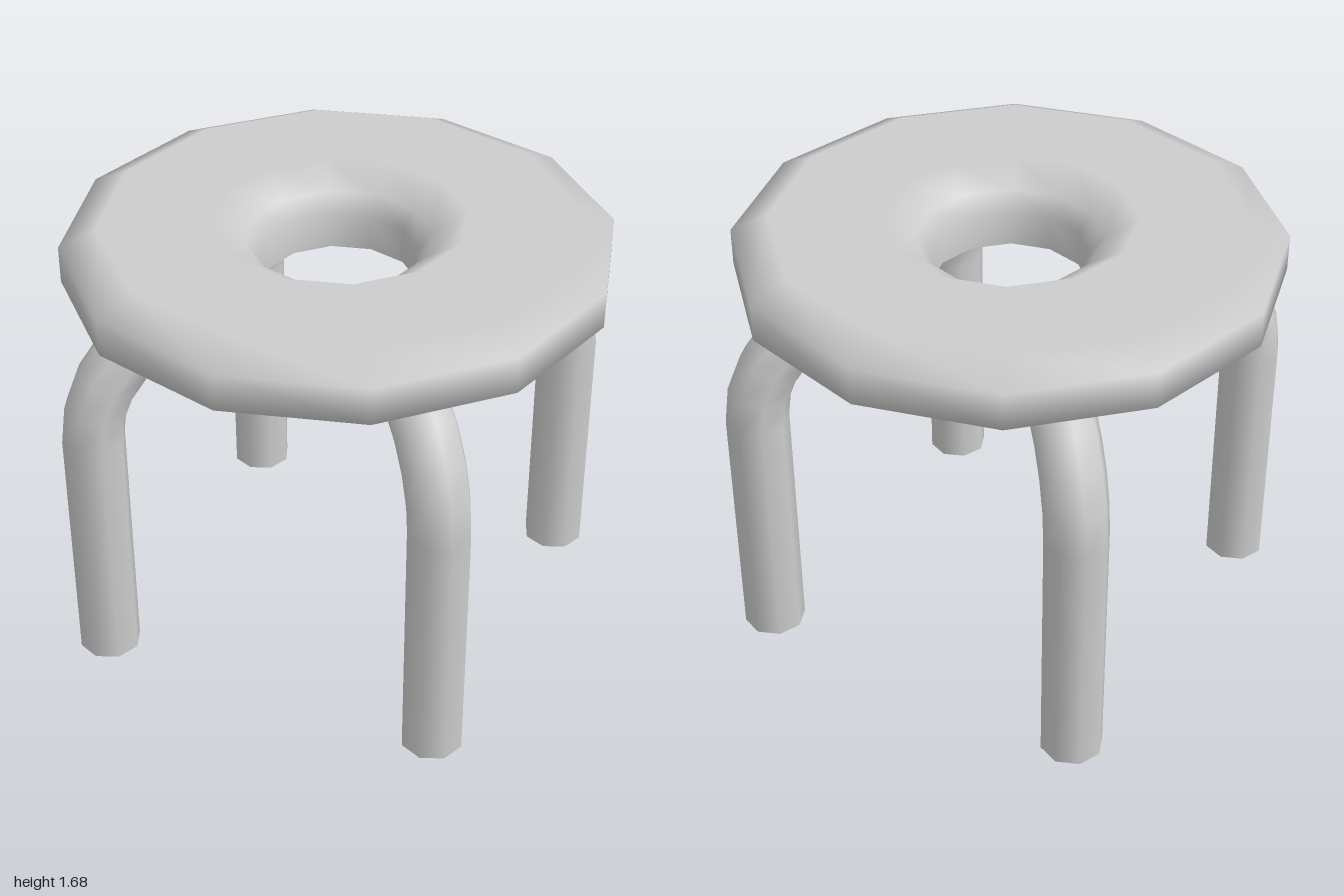
import * as THREE from 'three';

const grey = new THREE.MeshStandardMaterial({ color: 0xcccccc, side: THREE.DoubleSide });
grey.name = 'plain grey';

// Twelve-sided ring shell, open underneath, with bevelled rims and a funnel-shaped hole
function makeSeat() {
  const top = 1.677;
  const profile = [
    [0.86, 1.395], [1, 1.475], [1, 1.613], [0.865, top],
    [0.46, top], [0.34, 1.6], [0.29, 1.53], [0.29, 1.395],
  ].map(([r, y]) => new THREE.Vector2(r, y));
  const geo = new THREE.LatheGeometry(profile, 12);
  // The flat top stays flat; the bevels shade smoothly into it
  const { position, normal } = geo.attributes;
  for (let i = 0; i < position.count; i++) {
    if (Math.abs(position.getY(i) - top) < 1e-4) normal.setXYZ(i, 0, 1, 0);
  }
  const seat = new THREE.Mesh(geo, grey);
  seat.name = 'seat';
  return seat;
}

// Open eight-sided tube: straight shaft, then an arc bending inward under the seat
function makeLegGeometry() {
  const arcSteps = 5, bendRadius = 0.445, sweep = THREE.MathUtils.degToRad(75);
  const bendCentre = 0.507, bendStart = 0.965, rows = arcSteps + 1;
  const geo = new THREE.CylinderGeometry(0.117, 0.117, 1, 8, rows, true);
  const { position, normal } = geo.attributes;
  for (let i = 0; i < position.count; i++) {
    const row = Math.round((0.5 - position.getY(i)) * rows);
    const angle = row === rows ? 0 : sweep * (1 - row / arcSteps);
    const base = row === rows ? 0 : bendStart;
    const reach = bendRadius + position.getX(i), nx = normal.getX(i);
    const c = Math.cos(angle), s = Math.sin(angle);
    position.setXYZ(i, bendCentre + reach * c, base + reach * s, position.getZ(i));
    normal.setXYZ(i, nx * c, nx * s, normal.getZ(i));
  }
  return geo;
}

export function createModel() {
  const stool = new THREE.Group();
  stool.name = 'stool';
  stool.add(makeSeat());

  const legGeometry = makeLegGeometry();
  ['backLeftLeg', 'backRightLeg', 'frontRightLeg', 'frontLeftLeg'].forEach((name, i) => {
    const leg = new THREE.Mesh(legGeometry, grey);
    leg.name = name;
    leg.rotation.y = Math.PI / 4 + i * Math.PI / 2;
    stool.add(leg);
  });
  return stool;
}
